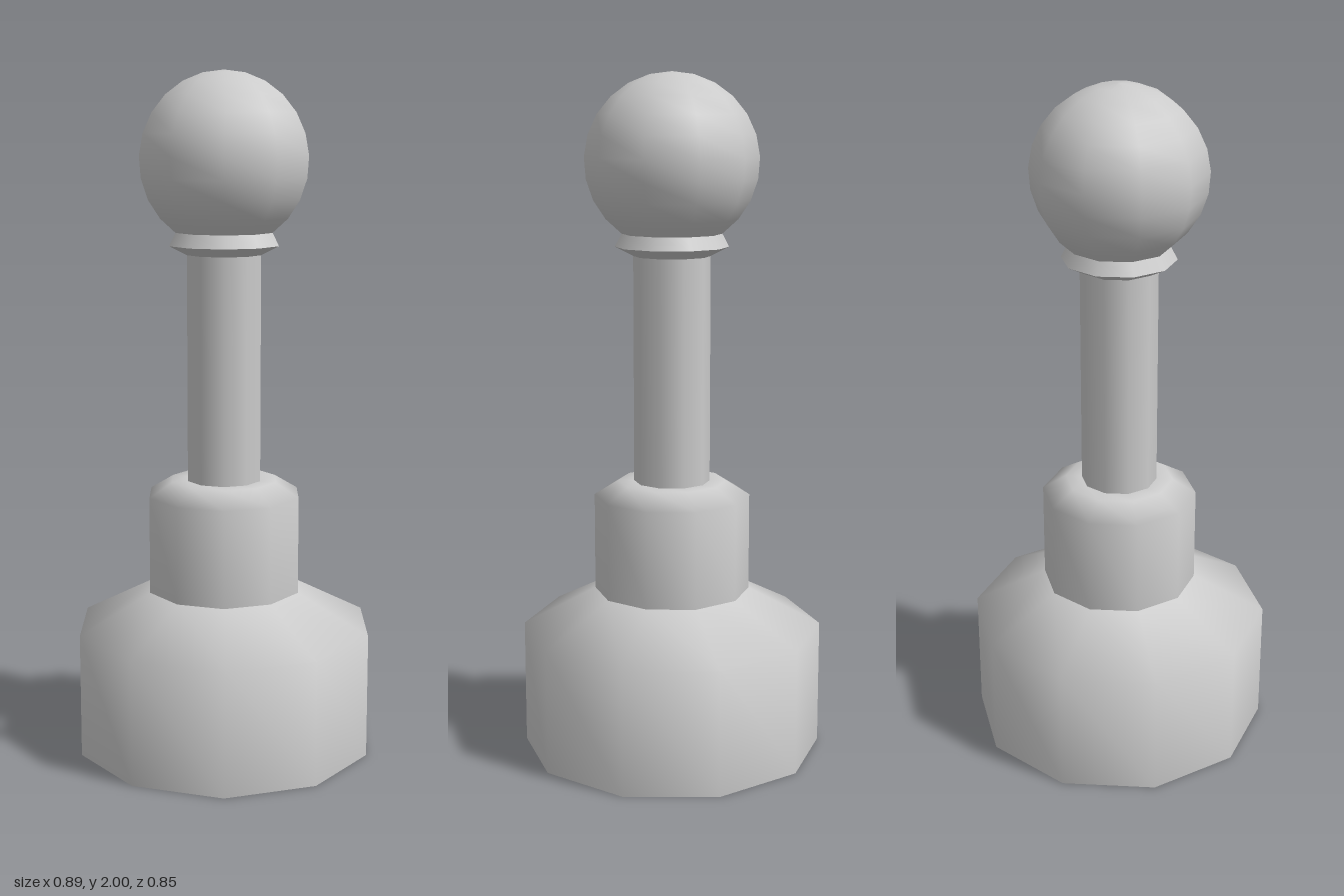
import * as THREE from 'three';

const SIDES = 10;
const material = new THREE.MeshStandardMaterial({ color: 0xcccccc });

// Ten-sided turned strip, smooth within itself; profile runs bottom to top as [radius, y]
function turned(name, profile) {
  const points = profile.map(([r, y]) => new THREE.Vector2(r, y));
  const mesh = new THREE.Mesh(new THREE.LatheGeometry(points, SIDES, Math.PI / 2), material);
  mesh.name = name;
  return mesh;
}

export function createModel() {
  const group = new THREE.Group();
  group.name = 'ballToppedPost';

  // Broad foot with a sloping shoulder
  group.add(turned('baseUnderside', [[0, 0], [0.445, 0]]));
  group.add(turned('base', [[0.445, 0], [0.445, 0.37], [0.23, 0.482]]));

  // Bevelled socket and the slim shaft standing in it
  group.add(turned('socket', [[0.23, 0.482], [0.23, 0.77], [0.16, 0.813], [0.112, 0.813]]));
  group.add(turned('shaft', [[0.112, 0.813], [0.112, 1.48]]));

  // Sharp-edged collar below the ball
  group.add(turned('collarUnderside', [[0.112, 1.478], [0.165, 1.505]]));
  group.add(turned('collarTop', [[0.165, 1.505], [0.144, 1.545]]));

  // Ball, open where it rests on the collar
  const radius = 0.252, centre = 1.748, steps = 10;
  const start = -Math.acos(0.144 / radius);
  const arc = [];
  for (let i = 0; i <= steps; i++) {
    const a = THREE.MathUtils.lerp(start, Math.PI / 2, i / steps);
    arc.push([i === steps ? 0 : radius * Math.cos(a), centre + radius * Math.sin(a)]);
  }
  group.add(turned('ball', arc));

  return group;
}
